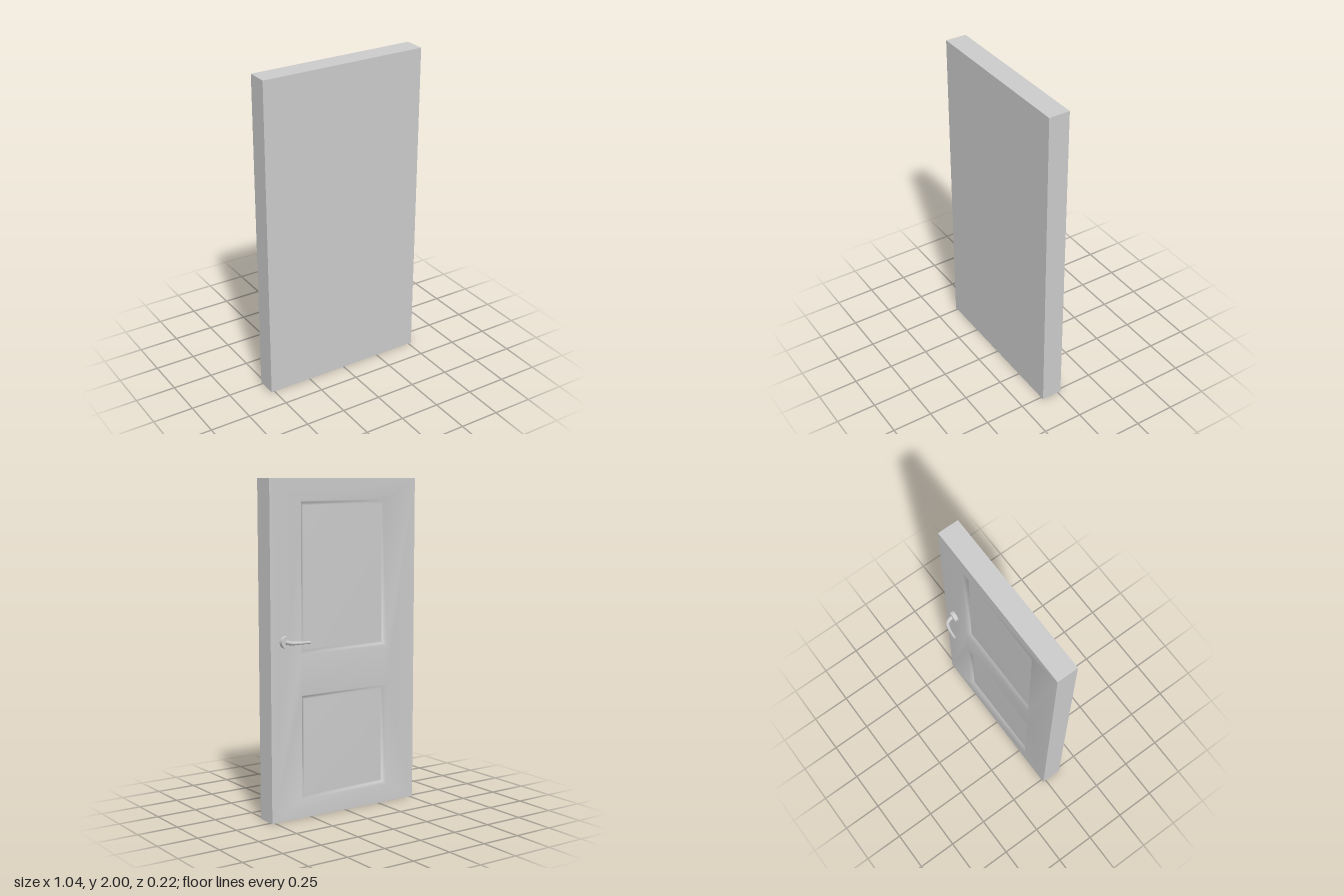
import * as THREE from 'three';
import { mergeGeometries, mergeVertices } from 'three/addons/utils/BufferGeometryUtils.js';

const W = 1.04, H = 2, BACK = -0.02, FRONT = 0.11;
const HANDLE_X = 0.424, HANDLE_Y = 1.066;

// Recessed panels: half width, bottom and top
const PANELS = [
  { w: 0.31, y0: 0.985, y1: 1.874 },
  { w: 0.31, y0: 0.114, y1: 0.742 },
];
// Moulding profile from the rim inwards: [inset, depth]
const MOULDING = [[0, 0], [0.014, 0.027], [0.028, 0.021]];

const material = () => new THREE.MeshStandardMaterial({ color: 0xcccccc });

function add(group, name, geometry) {
  const mesh = new THREE.Mesh(geometry, material());
  mesh.name = name;
  group.add(mesh);
  return mesh;
}

// Counter-clockwise rectangle, inset by i
function corners({ w, y0, y1 }, i = 0) {
  return [[-w + i, y0 + i], [w - i, y0 + i], [w - i, y1 - i], [-w + i, y1 - i]];
}

// Moulding bands and the flat field of one panel, facing +z
function panelGeometry(panel) {
  const pos = [], index = [];
  MOULDING.forEach(([inset, depth], level) => {
    for (const [x, y] of corners(panel, inset)) pos.push(x, y, -depth);
    if (level === 0) return;
    const a = (level - 1) * 4, b = level * 4;
    for (let k = 0; k < 4; k++) {
      const n = (k + 1) % 4;
      index.push(a + k, a + n, b + n, a + k, b + n, b + k);
    }
  });
  const last = (MOULDING.length - 1) * 4;
  index.push(last, last + 1, last + 2, last, last + 2, last + 3);
  const g = new THREE.BufferGeometry();
  g.setAttribute('position', new THREE.Float32BufferAttribute(pos, 3));
  g.setIndex(index);
  return g;
}

// Panelled face: frame with openings, joined smoothly to the panels
function panelledFace() {
  const toPoints = (list) => list.map(([x, y]) => new THREE.Vector2(x, y));
  const shape = new THREE.Shape(toPoints(corners({ w: W / 2, y0: 0, y1: H })));
  for (const p of PANELS) shape.holes.push(new THREE.Path(toPoints(corners(p).reverse())));
  const frame = new THREE.ShapeGeometry(shape);
  frame.deleteAttribute('normal');
  frame.deleteAttribute('uv');
  const g = mergeVertices(mergeGeometries([frame, ...PANELS.map(panelGeometry)]));
  g.computeVertexNormals();
  return g;
}

// Bent lever that tapers from neck to tip
function leverGeometry() {
  const path = new THREE.CatmullRomCurve3([
    [0.424, -0.04], [0.42, -0.066], [0.408, -0.086],
    [0.382, -0.097], [0.345, -0.103], [0.305, -0.1055],
  ].map(([x, z]) => new THREE.Vector3(x, HANDLE_Y, z)));
  const steps = 28, sides = 16;
  const g = new THREE.TubeGeometry(path, steps, 1, sides);
  const pos = g.attributes.position, v = new THREE.Vector3();
  for (let i = 0; i < pos.count; i++) {
    const t = Math.floor(i / (sides + 1)) / steps;
    const c = path.getPointAt(t);
    v.fromBufferAttribute(pos, i).sub(c).multiplyScalar(0.0135 - 0.0055 * Math.min(1, t * 1.4)).add(c);
    pos.setXYZ(i, v.x, v.y, v.z);
  }
  g.computeVertexNormals();
  return { g, end: path.getPointAt(1), dir: path.getTangentAt(1) };
}

export function createModel() {
  const door = new THREE.Group();
  door.name = 'door';

  // Slab: front and four edges, the box's own back face left out
  const slab = new THREE.BoxGeometry(W, H, FRONT - BACK);
  slab.setIndex(Array.from(slab.index.array).slice(0, 30));
  slab.clearGroups();
  slab.translate(0, H / 2, (FRONT + BACK) / 2);
  add(door, 'slab', slab);

  // Panelled back
  const face = add(door, 'panelledFace', panelledFace());
  face.rotation.y = Math.PI;
  face.position.z = BACK;

  // Handle
  const handle = new THREE.Group();
  handle.name = 'handle';
  door.add(handle);

  const rose = add(handle, 'rose', new THREE.CylinderGeometry(0.036, 0.036, 0.025, 32));
  rose.rotation.x = -Math.PI / 2;
  rose.position.set(HANDLE_X, HANDLE_Y, BACK - 0.0125);

  const lever = leverGeometry();
  add(handle, 'lever', lever.g);
  const tip = add(handle, 'leverTip', new THREE.CircleGeometry(0.008, 16));
  tip.position.copy(lever.end);
  tip.lookAt(lever.end.clone().add(lever.dir));

  return door;
}
